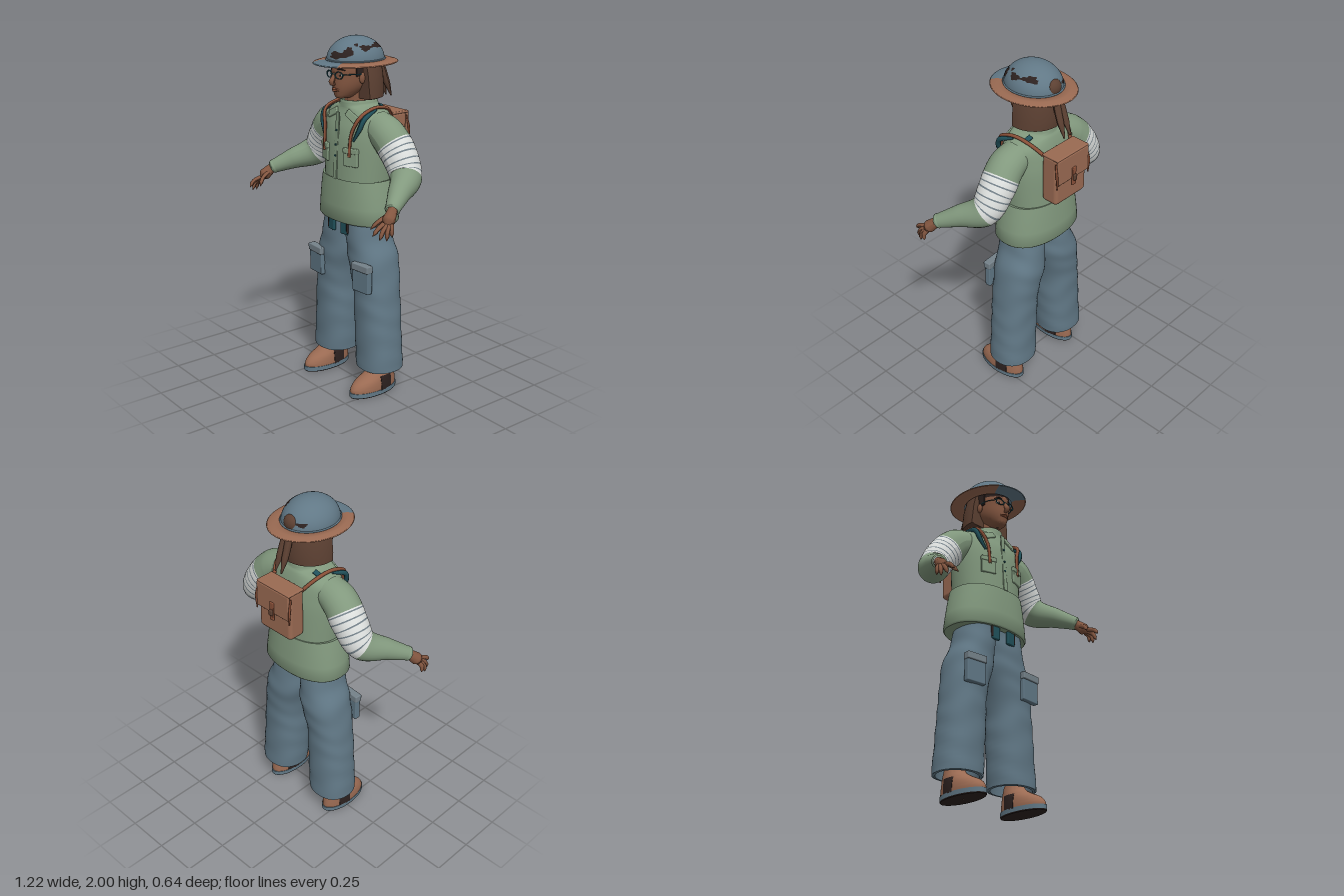
import * as THREE from 'three';
import { mergeVertices, toCreasedNormals } from 'three/addons/utils/BufferGeometryUtils.js';
import { RoundedBoxGeometry } from 'three/addons/geometries/RoundedBoxGeometry.js';

const colours = {
  jacketGreen: 0x82997e, steelBlue: 0x617886, leatherBrown: 0x9a6a52, skin: 0x835640, hairBrown: 0x5c4032,
  nearBlack: 0x2c211f, bandageWhite: 0xdcdfdd, darkTeal: 0x20505a, flapGrey: 0x75828a, strapRust: 0x8a5038,
};

export function createModel() {
  const M = {};
  for (const [name, color] of Object.entries(colours)) {
    M[name] = new THREE.MeshStandardMaterial({ color, side: THREE.DoubleSide });
    M[name].name = name;
  }
  const root = new THREE.Group();
  root.name = 'explorer';

  const add = (name, geo, mat, pos = [0, 0, 0], rot = [0, 0, 0], scale = [1, 1, 1]) => {
    const m = new THREE.Mesh(geo, mat);
    m.name = name;
    m.position.set(...pos);
    m.rotation.set(...rot);
    m.scale.set(...scale);
    root.add(m);
    return m;
  };
  const box = (name, mat, size, pos, rot, r = 0.006) =>
    add(name, new RoundedBoxGeometry(...size, 2, Math.min(r, Math.min(...size) * 0.45)), mat, pos, rot);

  const spline = (a, b, c, d, t) =>
    0.5 * (2 * b + (c - a) * t + (2 * a - 5 * b + 4 * c - d) * t * t + (3 * b - a - 3 * c + d) * t ** 3);

  // Stack of level sections, top to bottom: [y, half width, front z, back z, centre x]
  function loft(name, mat, rings, { rows = rings.length - 1, sides = 40, pow = 1, wave = 0, zMin = -9, zMax = 9 } = {}) {
    const g = new THREE.CylinderGeometry(1, 1, 1, sides, rows, true);
    const p = g.attributes.position, last = rings.length - 1;
    const bend = v => Math.sign(v) * Math.abs(v) ** pow;
    for (let i = 0; i < p.count; i++) {
      const f = Math.floor(i / (sides + 1)) / rows * last, k = Math.min(Math.floor(f), last - 1);
      const at = n => rings[Math.max(0, Math.min(last, n))];
      const [y, rx, zf, zb, cx] = [0, 1, 2, 3, 4].map(j =>
        spline(at(k - 1)[j] || 0, at(k)[j] || 0, at(k + 1)[j] || 0, at(k + 2)[j] || 0, f - k));
      const a = (i % (sides + 1)) / sides * Math.PI * 2;
      const w = 1 + wave * Math.sin(y * 42 + Math.sin(a * 2 + y * 9) * 1.6);
      const z = (zf + zb) / 2 + bend(Math.cos(a)) * (zf - zb) / 2 * w;
      p.setXYZ(i, cx + bend(Math.sin(a)) * rx * w, y, THREE.MathUtils.clamp(z, zMin, zMax));
    }
    g.deleteAttribute('uv');
    g.deleteAttribute('normal');
    return add(name, toCreasedNormals(mergeVertices(g), 0.8), mat);
  }

  // Tube along points whose radius follows a list; paint(u, row) may choose a material index
  function limb(name, mat, pts, radii, seg = 20, sides = 10, paint) {
    const curve = new THREE.CatmullRomCurve3(pts.map(q => new THREE.Vector3(...q)));
    const g = new THREE.TubeGeometry(curve, seg, 1, sides);
    const p = g.attributes.position, v = new THREE.Vector3();
    for (let i = 0; i < p.count; i++) {
      const u = Math.floor(i / (sides + 1)) / seg, f = u * (radii.length - 1), k = Math.min(Math.floor(f), radii.length - 2);
      const c = curve.getPointAt(u);
      v.fromBufferAttribute(p, i).sub(c).multiplyScalar(THREE.MathUtils.lerp(radii[k], radii[k + 1], f - k)).add(c);
      p.setXYZ(i, v.x, v.y, v.z);
    }
    g.computeVertexNormals();
    if (paint) for (let r = 0; r < seg; r++) g.addGroup(r * sides * 6, sides * 6, paint(r / seg, r));
    return add(name, g, mat);
  }

  // Head, neck and face
  loft('head', M.skin, [[1.93, 0.07, 0.08, -0.12], [1.85, 0.093, 0.124, -0.15], [1.79, 0.093, 0.124, -0.14],
    [1.74, 0.08, 0.124, -0.1], [1.7, 0.056, 0.118, -0.04], [1.676, 0.032, 0.108, 0], [1.67, 0.004, 0.07, 0.05]], { rows: 24 });
  loft('neck', M.skin, [[1.74, 0.058, 0.04, -0.1], [1.6, 0.065, 0.045, -0.12]]);
  limb('nose', M.skin, [[0, 1.815, 0.118], [0, 1.785, 0.133], [0, 1.762, 0.142], [0, 1.75, 0.122]], [0.008, 0.012, 0.017, 0.008], 12);
  for (const [y, r] of [[1.727, 0.007], [1.718, 0.008]])
    limb('lip', M.strapRust, [[-0.03, y, 0.116], [0, y + 0.001, 0.128], [0.03, y, 0.116]], [0.001, r, 0.001], 12, 8);
  for (const s of [1, -1]) {
    add('eye', new THREE.SphereGeometry(1, 14, 8), M.bandageWhite, [s * 0.038, 1.803, 0.109], [0, s * 0.3, 0], [0.016, 0.008, 0.007]);
    add('iris', new THREE.SphereGeometry(1, 10, 8), M.nearBlack, [s * 0.038, 1.803, 0.114], [0, 0, 0], [0.007, 0.007, 0.004]);
    limb('eyebrow', M.nearBlack, [[s * 0.016, 1.83, 0.121], [s * 0.04, 1.836, 0.115], [s * 0.062, 1.829, 0.097]], [0.003, 0.005, 0.002], 10, 6);
    add('ear', new THREE.SphereGeometry(1, 12, 10), M.skin, [s * 0.094, 1.785, 0.008], [0, 0, 0], [0.012, 0.03, 0.02]);
    const rim = add('glassesRim', new THREE.TorusGeometry(0.027, 0.0035, 6, 20), M.darkTeal, [s * 0.042, 1.803, 0.126], [0, s * 0.2, 0]);
    rim.scale.y = 0.7;
    limb('glassesArm', M.darkTeal, [[s * 0.068, 1.808, 0.121], [s * 0.093, 1.81, 0.07], [s * 0.098, 1.805, 0]], [0.003, 0.003], 8, 6);
  }
  box('glassesBridge', M.darkTeal, [0.032, 0.005, 0.005], [0, 1.808, 0.131]);

  // Bobbed hair, hairline, bun and ponytail
  loft('hair', M.hairBrown, [[1.88, 0.115, 0.13, -0.165], [1.8, 0.136, 0.13, -0.175], [1.72, 0.145, 0.13, -0.18],
    [1.675, 0.147, 0.12, -0.175], [1.67, 0.135, 0.11, -0.16], [1.69, 0.01, 0.05, -0.07]], { zMax: 0 });
  loft('hairline', M.nearBlack, [[1.88, 0.1, 0.126, -0.15], [1.845, 0.098, 0.127, -0.15]], { zMax: 0.122 });
  for (const s of [1, -1]) box('sideburn', M.nearBlack, [0.008, 0.07, 0.045], [s * 0.092, 1.83, 0.025]);
  add('bun', new THREE.SphereGeometry(0.045, 20, 14), M.hairBrown, [0, 1.9, -0.155], [0, 0, 0], [1.05, 1, 0.8]);
  for (const s of [1, -1])
    limb('ponytailStrand', M.hairBrown, [[s * 0.012, 1.87, -0.175], [s * 0.018, 1.76, -0.212], [s * 0.022, 1.65, -0.255]], [0.016, 0.02, 0.018, 0.004], 14, 8);

  // Helmet: dome, rim band, brim with a painted front, worn patches
  const hc = [0, 1.872, -0.02], dome = [0.143, 0.128, 0.165];
  add('helmetDome', new THREE.SphereGeometry(1, 48, 20, 0, Math.PI * 2, 0, Math.PI / 2), M.steelBlue, hc, [0, 0, 0], dome);
  add('helmetBand', new THREE.TorusGeometry(1, 0.035, 8, 56), M.steelBlue, [0, 1.877, -0.02], [Math.PI / 2, 0, 0], [0.144, 0.166, 0.14]);
  const brim = [[0.62, -0.02], [0.7, 0.003], [0.85, 0], [0.98, -0.009], [1, -0.013], [0.98, -0.016], [0.7, -0.01], [0.62, -0.02]]
    .map(q => new THREE.Vector2(...q)).reverse();
  const cut = 0.56;
  add('brim', new THREE.LatheGeometry(brim, 56, cut, Math.PI * 2 - 2 * cut), M.leatherBrown, hc, [0, 0, 0], [0.207, 1, 0.245]);
  add('brimFront', new THREE.LatheGeometry(brim, 14, -cut, 2 * cut), M.steelBlue, hc, [0, 0, 0], [0.207, 1, 0.245]);
  for (const [lon, el, w, h] of [[0.3, 0.3, 0.42, 0.14], [0.7, 0.48, 0.2, 0.17], [2.1, 0.68, 0.36, 0.13],
    [1.4, 0.62, 0.26, 0.13], [1.0, 0.78, 0.1, 0.07], [-2.6, 0.3, 0.2, 0.08]]) {
    const g = new THREE.RingGeometry(0.001, 1, 28, 4), p = g.attributes.position;
    for (let i = 0; i < p.count; i++) {
      const x = p.getX(i), y = p.getY(i), a = Math.atan2(y, x);
      const k = 1 + 0.2 * Math.sin(a * 3 + lon * 5) + 0.14 * Math.sin(a * 7 + lon);
      const E = el + y * h * k, L = lon + x * w * k;
      p.setXYZ(i, Math.sin(L) * Math.cos(E), Math.sin(E), Math.cos(L) * Math.cos(E));
    }
    g.computeVertexNormals();
    add('wornPatch', g, M.nearBlack, hc, [0, 0, 0], dome.map(v => v * 1.012));
  }

  // Jacket body and broad hem
  loft('jacket', M.jacketGreen, [[1.645, 0.06, 0.04, -0.125], [1.66, 0.085, 0.06, -0.145], [1.632, 0.098, 0.064, -0.152],
    [1.612, 0.165, 0.066, -0.162], [1.57, 0.215, 0.08, -0.175], [1.5, 0.222, 0.104, -0.19], [1.4, 0.22, 0.116, -0.2],
    [1.2, 0.205, 0.12, -0.2]], { rows: 35, pow: 0.9 });
  loft('jacketHem', M.jacketGreen, [[1.225, 0.19, 0.1, -0.18], [1.235, 0.225, 0.126, -0.207], [1.16, 0.24, 0.13, -0.213], [1.08, 0.252, 0.132, -0.218],
    [1.0, 0.262, 0.133, -0.222], [0.99, 0.255, 0.126, -0.215], [0.995, 0.17, 0.08, -0.14]], { pow: 0.88, sides: 56 });
  box('placket', M.jacketGreen, [0.03, 0.37, 0.008], [0, 1.415, 0.112], [-0.07, 0, 0]);
  for (const y of [1.29, 1.36, 1.42, 1.5])
    add('button', new THREE.CylinderGeometry(0.006, 0.006, 0.006, 12), M.darkTeal, [0, y, 0.121 - Math.max(0, y - 1.4) * 0.1], [Math.PI / 2, 0, 0]);

  const arm = [[0.15, 1.53, -0.05], [0.24, 1.49, -0.05], [0.33, 1.39, -0.06], [0.395, 1.295, -0.045], [0.475, 1.24, 0.07], [0.545, 1.19, 0.175]];
  const knuckles = [[[0.563, 1.135, 0.245], [0.565, 1.085, 0.318]], [[0.572, 1.13, 0.235], [0.583, 1.06, 0.287]],
    [[0.58, 1.128, 0.225], [0.597, 1.055, 0.252]], [[0.583, 1.13, 0.21], [0.6, 1.07, 0.22]], [[0.54, 1.165, 0.2], [0.505, 1.1, 0.285]]];
  for (const s of [1, -1]) {
    const flip = pts => pts.map(([x, y, z]) => [s * x, y, z]);

    // Chest pockets, breast flaps and pack straps
    box('chestPocket', M.jacketGreen, [0.09, 0.1, 0.02], [s * 0.11, 1.365, 0.099], [0, s * 0.32, 0]);
    box('chestPocketFlap', M.jacketGreen, [0.094, 0.03, 0.026], [s * 0.11, 1.402, 0.099], [0, s * 0.32, 0]);
    box('breastFlap', M.jacketGreen, [0.085, 0.042, 0.014], [s * 0.08, 1.583, 0.071], [-0.35, s * 0.2, -s * 0.4]);
    limb('packStrap', M.strapRust, flip([[0.11, 1.37, 0.112], [0.118, 1.5, 0.1], [0.155, 1.59, 0.068], [0.155, 1.628, -0.03], [0.14, 1.61, -0.13], [0.1, 1.55, -0.195]]), [0.008, 0.01, 0.01, 0.01], 36, 8);
    limb('strapLining', M.darkTeal, flip([[0.13, 1.46, 0.098], [0.16, 1.52, 0.084], [0.175, 1.58, 0.06], [0.165, 1.62, -0.03]]), [0.006, 0.014, 0.014, 0.006], 20, 8);
    box('collarPatch', M.darkTeal, [0.05, 0.006, 0.03], [s * 0.13, 1.628, -0.1], [-0.3, 0, -s * 0.35]);

    // Sleeve with a wound bandage, then the hand
    limb('sleeve', [M.jacketGreen, M.bandageWhite, M.flapGrey], flip(arm), [0.088, 0.098, 0.1, 0.094, 0.086, 0.068, 0.052, 0.037], 96, 24,
      (u, r) => u < 0.24 || u > 0.56 ? 0 : r % 5 === 0 ? 2 : 1);
    limb('cuff', M.jacketGreen, flip([[0.535, 1.197, 0.16], [0.548, 1.187, 0.178]]), [0.04, 0.041, 0.03], 6, 20);
    limb('palm', M.skin, flip([[0.54, 1.193, 0.165], [0.556, 1.165, 0.195], [0.568, 1.138, 0.222], [0.573, 1.12, 0.238]]), [0.026, 0.03, 0.035, 0.006], 14, 12);
    for (const [a, b] of knuckles) {
      const mid = [(a[0] + b[0]) / 2 + 0.006, (a[1] + b[1]) / 2 + 0.008, (a[2] + b[2]) / 2 + 0.006];
      limb('finger', M.skin, flip([a, mid, b]), [0.014, 0.013, 0.012, 0.011, 0.001], 12, 8);
    }

    // Trouser leg with cargo pocket
    loft('trouserLeg', M.steelBlue, [[1.03, 0.1, 0.1, -0.155, s * 0.09], [0.9, 0.112, 0.1, -0.165, s * 0.107], [0.78, 0.132, 0.098, -0.18, s * 0.134],
      [0.6, 0.122, 0.092, -0.168, s * 0.17], [0.4, 0.13, 0.088, -0.163, s * 0.183], [0.14, 0.134, 0.085, -0.164, s * 0.199]],
    { rows: 48, pow: 0.88, wave: 0.014 });
    loft('trouserCuff', M.steelBlue, [[0.141, 0.134, 0.085, -0.164, s * 0.199], [0.138, 0.12, 0.07, -0.15, s * 0.199], [0.2, 0.115, 0.065, -0.145, s * 0.199]]);
    box('cargoPocket', M.steelBlue, [0.125, 0.155, 0.035], [s * 0.205, 0.697, 0.095], [0, s * 0.08, 0]);
    box('cargoFlap', M.flapGrey, [0.13, 0.042, 0.045], [s * 0.205, 0.763, 0.098], [0, s * 0.08, 0]);
    box('beltTab', M.darkTeal, [0.058, 0.09, 0.02], [s * 0.058, 0.963, 0.1], [0, s * 0.1, 0]);
    box('beltTabEdge', M.nearBlack, [0.012, 0.075, 0.024], [s * 0.083, 0.965, 0.097], [0, s * 0.1, 0]);

    // Boot: upper, dark side panel and sole
    const boot = [[0.17, 0.048, 0.02, -0.1], [0.14, 0.054, 0.04, -0.108], [0.11, 0.062, 0.09, -0.116], [0.08, 0.068, 0.15, -0.122],
      [0.05, 0.071, 0.178, -0.126], [0.025, 0.071, 0.182, -0.127]];
    loft('bootUpper', M.leatherBrown, boot.map(q => [...q, s * 0.22]), { rows: 20 });
    loft('bootPanel', M.nearBlack, boot.slice(2).map(([y, r, f, b]) => [y, r + 0.002, f, b, s * 0.22]), { rows: 8, sides: 64, zMin: -0.06, zMax: 0.02 });
    loft('bootSole', M.steelBlue, [[0.03, 0.06, 0.17, -0.115, s * 0.22], [0.03, 0.073, 0.187, -0.132, s * 0.22], [0.006, 0.073, 0.187, -0.132, s * 0.22]]);
    loft('bootTread', M.nearBlack, [[0.006, 0.073, 0.187, -0.132, s * 0.22], [0, 0.07, 0.183, -0.128, s * 0.22], [0, 0.001, 0.03, 0.028, s * 0.22]]);
  }
  box('backBeltTab', M.darkTeal, [0.13, 0.06, 0.014], [0, 0.975, -0.158]);

  // Backpack
  box('packBody', M.leatherBrown, [0.236, 0.29, 0.105], [0, 1.43, -0.238], [0, 0, 0], 0.022);
  box('packFlap', M.leatherBrown, [0.236, 0.15, 0.016], [0, 1.495, -0.297], [0, 0, 0], 0.007);
  box('packFlapTop', M.leatherBrown, [0.24, 0.014, 0.11], [0, 1.57, -0.246], [0, 0, 0], 0.006);
  box('packClosure', M.strapRust, [0.03, 0.11, 0.01], [0, 1.435, -0.307]);
  box('packBuckle', M.hairBrown, [0.024, 0.035, 0.016], [0, 1.43, -0.315]);
  for (const s of [1, -1])
    limb('packTie', M.strapRust, [[s * 0.118, 1.55, -0.285], [s * 0.125, 1.48, -0.3], [s * 0.12, 1.4, -0.3]], [0.005, 0.007, 0.004], 12, 8);

  return root;
}
